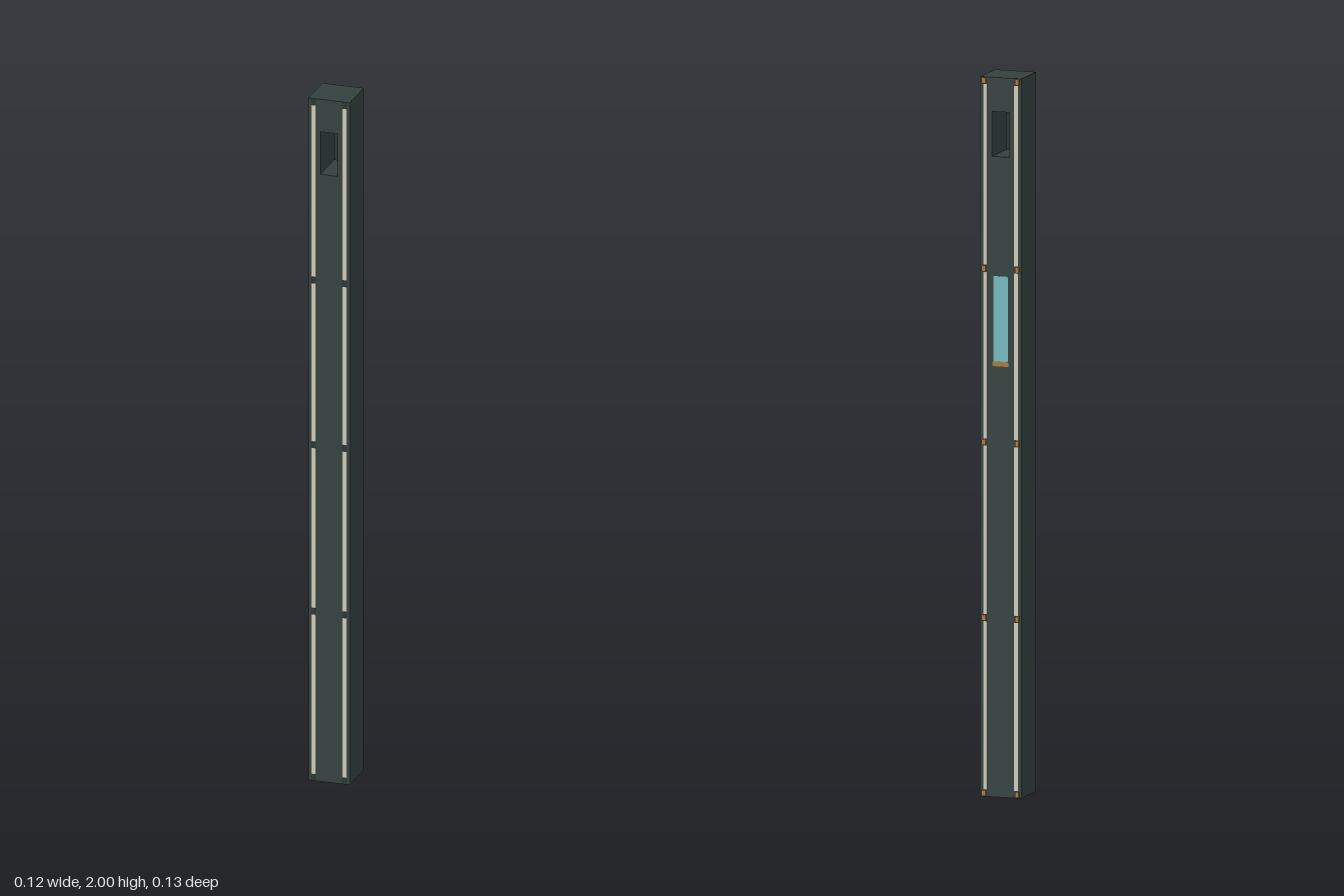
import * as THREE from 'three';

export function createModel() {
  const group = new THREE.Group();
  const material = (name, color) => {
    const m = new THREE.MeshStandardMaterial({ color });
    m.name = name;
    return m;
  };
  const slate = material('dark slate', 0x35413f);
  const darkMetal = material('dark metal', 0x2b3533);
  const cream = material('cream', 0xcfc9b6);
  const brass = material('brass', 0xa87a3c);
  const teal = material('teal glass', 0x74b8bd);

  const W = 0.12, H = 2, FRONT = 0.0625, BACK = -0.0575;
  const railX = 0.0445;
  const joints = [0.01, 0.497, 0.985, 1.468, 1.99];

  const box = (name, mat, w, h, d, x, y, z) => {
    const mesh = new THREE.Mesh(new THREE.BoxGeometry(w, h, d), mat);
    mesh.name = name;
    mesh.position.set(x, y, z);
    group.add(mesh);
  };

  // Square post with an opening right through the top
  const outline = new THREE.Shape([
    new THREE.Vector2(-W / 2, 0), new THREE.Vector2(W / 2, 0),
    new THREE.Vector2(W / 2, H), new THREE.Vector2(-W / 2, H),
  ]);
  outline.holes.push(new THREE.Path([
    new THREE.Vector2(-0.025, 1.78), new THREE.Vector2(-0.025, 1.905),
    new THREE.Vector2(0.025, 1.905), new THREE.Vector2(0.025, 1.78),
  ]));
  const post = new THREE.Mesh(
    new THREE.ExtrudeGeometry(outline, { depth: FRONT - BACK, bevelEnabled: false }), slate);
  post.name = 'post';
  post.position.z = BACK;
  group.add(post);

  // Inlaid strips between the joints, on both faces and both edges
  for (const side of [-1, 1]) {
    for (let i = 0; i < joints.length - 1; i++) {
      const y0 = joints[i] + 0.01, y1 = joints[i + 1] - 0.01;
      for (const z of [FRONT - 0.0005, BACK + 0.0005]) {
        box('inlaidStrip', cream, 0.011, y1 - y0, 0.002, side * railX, (y0 + y1) / 2, z);
      }
    }
    // Joint clips: flush at the front, raised brass at the back
    for (const y of joints) {
      box('frontClip', darkMetal, 0.014, 0.018, 0.002, side * railX, y, FRONT - 0.0005);
      box('backClip', brass, 0.011, 0.016, 0.006, side * 0.0485, y, BACK - 0.002);
    }
  }

  // Glass panel with a brass sill on the back
  box('glassPanel', teal, 0.042, 0.24, 0.002, 0, 1.328, BACK - 0.0002);
  box('panelSill', brass, 0.046, 0.013, 0.003, 0, 1.204, BACK - 0.0002);

  return group;
}
